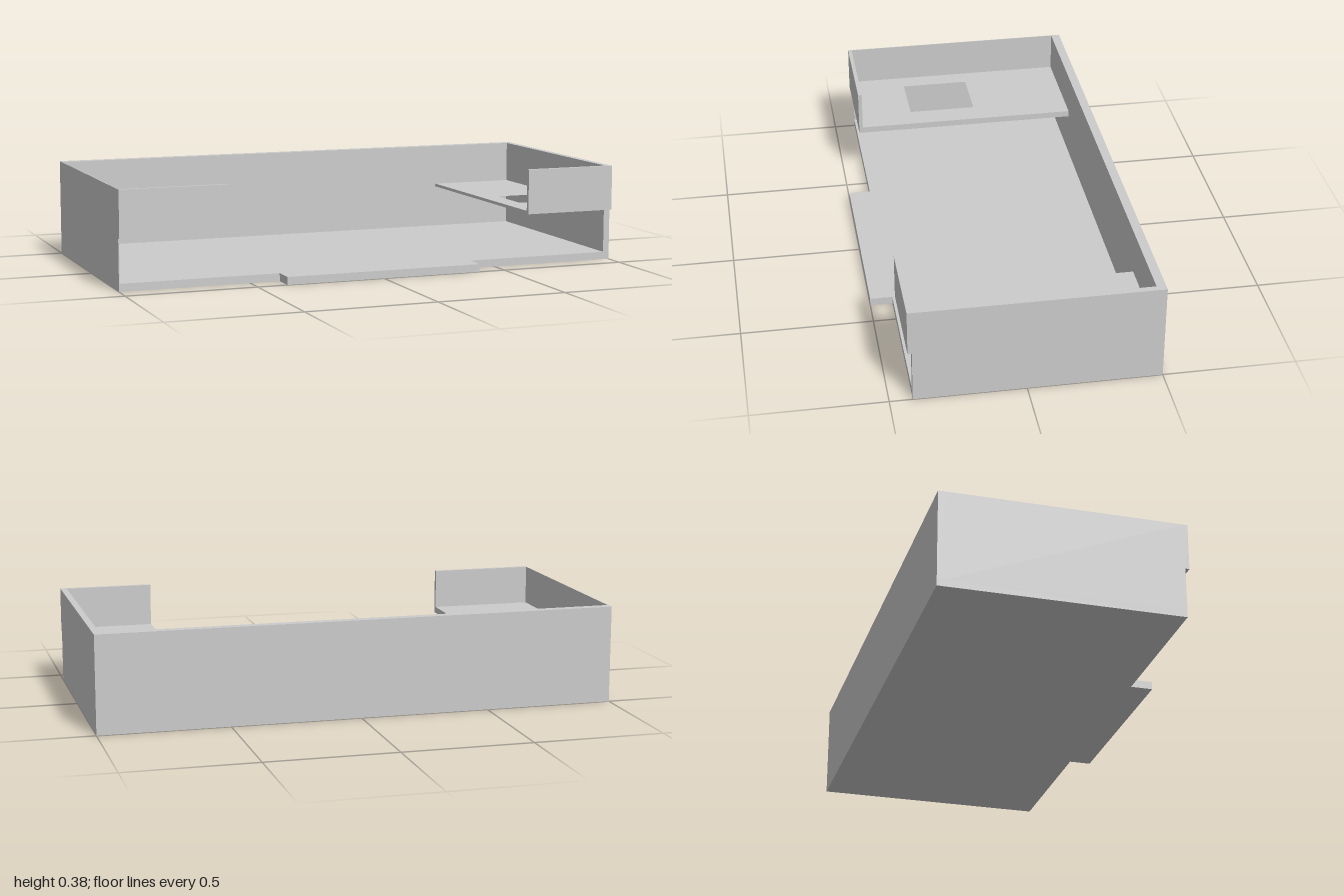
import * as THREE from 'three';

const BACK = -0.5, INNER_BACK = -0.465, FRONT = 0.415, PANEL_FRONT = 0.43;
const FLOOR = 0.03, TOP = 0.375;

export function createModel() {
  const model = new THREE.Group();
  const material = new THREE.MeshStandardMaterial({ color: 0xcccccc, flatShading: true });

  function add(name, geometry) {
    const mesh = new THREE.Mesh(geometry, material);
    mesh.name = name;
    model.add(mesh);
  }

  // Box given by its limits on each axis
  function block(name, [x0, x1], [y0, y1], [z0, z1]) {
    const geometry = new THREE.BoxGeometry(x1 - x0, y1 - y0, z1 - z0);
    geometry.translate((x0 + x1) / 2, (y0 + y1) / 2, (z0 + z1) / 2);
    add(name, geometry);
  }

  // Horizontal plate: outline and holes are [x, z] points
  const toPoints = (list) => list.map(([x, z]) => new THREE.Vector2(x, -z));
  const rect = ([x0, x1], [z0, z1]) => [[x0, z0], [x1, z0], [x1, z1], [x0, z1]];
  function plate(name, outline, [y0, y1], holes = []) {
    const shape = new THREE.Shape(toPoints(outline));
    for (const hole of holes) shape.holes.push(new THREE.Path(toPoints(hole)));
    const geometry = new THREE.ExtrudeGeometry(shape, { depth: y1 - y0, bevelEnabled: false });
    geometry.rotateX(-Math.PI / 2);
    geometry.translate(0, y0, 0);
    add(name, geometry);
  }

  // Floor with a tab at the front
  plate('floor', [
    [-1, BACK], [1, BACK], [1, FRONT], [0.395, FRONT],
    [0.395, 0.5], [-0.385, 0.5], [-0.385, FRONT], [-1, FRONT],
  ], [0, FLOOR]);

  // Walls: the right one is only a thin sheet
  block('backWall', [-1, 1], [FLOOR, TOP], [BACK, INNER_BACK]);
  block('leftWall', [0.975, 1], [FLOOR, TOP], [INNER_BACK, FRONT]);
  block('rightWall', [-1, -0.997], [FLOOR, TOP], [INNER_BACK, FRONT]);

  // Raised shelves, each with a rectangular opening
  plate('rightShelf', rect([-0.997, -0.59], [INNER_BACK, FRONT]), [0.195, 0.22],
    [rect([-0.92, -0.69], [-0.07, 0.2])]);
  plate('leftShelf', rect([0.635, 0.975], [INNER_BACK, FRONT]), [0.2, 0.212],
    [rect([0.71, 0.9], [0, 0.2])]);

  // Front panels above the shelf undersides
  block('rightFrontPanel', [-1, -0.59], [0.195, TOP], [FRONT, PANEL_FRONT]);
  block('leftFrontPanel', [0.635, 1], [0.2, TOP], [FRONT, PANEL_FRONT]);

  return model;
}
